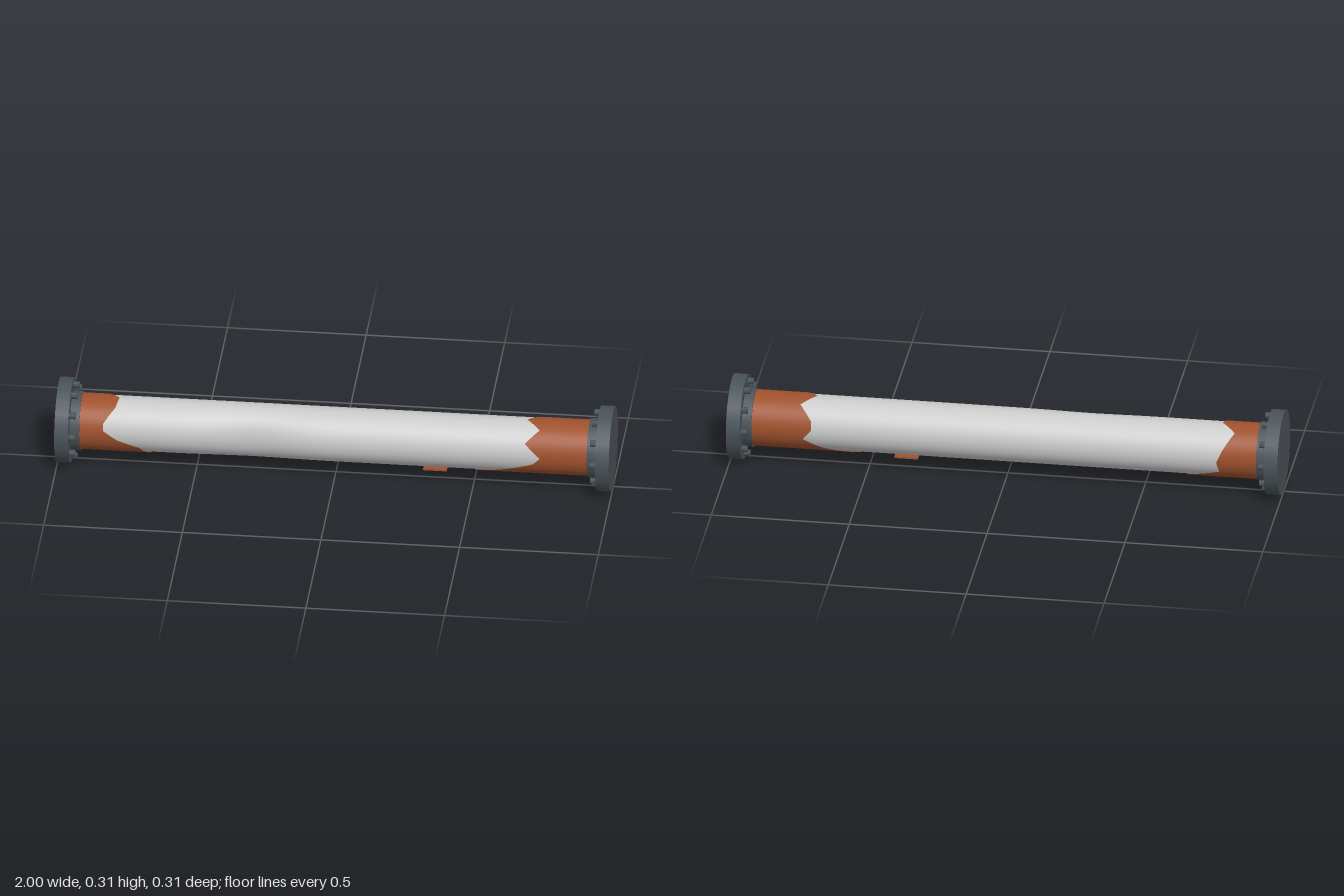
import * as THREE from 'three';

const CY = 0.155; // height of the pipe axis
const steel = new THREE.MeshStandardMaterial({ color: 0x4a5359 });
const paint = new THREE.MeshStandardMaterial({ color: 0xcccccc });
const rust = new THREE.MeshStandardMaterial({ color: 0xa0522d, side: THREE.DoubleSide });

// shallow dent in the front of the pipe
function radiusAt(x, a, r) {
  const facing = Math.max(0, Math.sin(a));
  return r - 0.018 * facing * facing * Math.exp(-(((x + 0.3) / 0.15) ** 2));
}

// tube skin between two x limits given per angle (0 = top, 90 degrees = front)
function skin(r, x0, x1, around, along) {
  const pos = [], idx = [];
  for (let j = 0; j <= along; j++) {
    for (let i = 0; i <= around; i++) {
      const a = (i / around) * Math.PI * 2;
      const x = THREE.MathUtils.lerp(x0(a), x1(a), j / along);
      const q = radiusAt(x, a, r);
      pos.push(x, q * Math.cos(a), q * Math.sin(a));
      if (i < around && j < along) {
        const p = j * (around + 1) + i, n = p + around + 1;
        idx.push(p, p + 1, n, p + 1, n + 1, n);
      }
    }
  }
  const g = new THREE.BufferGeometry();
  g.setAttribute('position', new THREE.Float32BufferAttribute(pos, 3));
  g.setIndex(idx);
  g.computeVertexNormals();
  // close the shading seam
  const nor = g.attributes.normal;
  for (let j = 0; j <= along; j++) {
    const p = j * (around + 1), q = p + around;
    const n = new THREE.Vector3().fromBufferAttribute(nor, p)
      .add(new THREE.Vector3().fromBufferAttribute(nor, q)).normalize();
    nor.setXYZ(p, n.x, n.y, n.z);
    nor.setXYZ(q, n.x, n.y, n.z);
  }
  return g;
}

// ragged edge: straight runs between [degrees, x] points
function raggedEdge(points) {
  return (a) => {
    const d = THREE.MathUtils.radToDeg(a);
    let k = 0;
    while (k < points.length - 2 && d > points[k + 1][0]) k++;
    const [d0, v0] = points[k], [d1, v1] = points[k + 1];
    return THREE.MathUtils.mapLinear(d, d0, d1, v0, v1);
  };
}

// cylinder lying along x
function disc(r, x0, x1, sides, material, name) {
  const g = new THREE.CylinderGeometry(r, r, Math.abs(x1 - x0), sides);
  g.rotateZ(Math.PI / 2);
  const m = new THREE.Mesh(g, material);
  m.position.x = (x0 + x1) / 2;
  m.name = name;
  return m;
}

function add(group, geometry, material, name) {
  const m = new THREE.Mesh(geometry, material);
  m.name = name;
  group.add(m);
  return m;
}

export function createModel() {
  const model = new THREE.Group();
  model.name = 'pipe';
  const body = new THREE.Group();
  body.name = 'pipeAssembly';
  body.position.y = CY;
  model.add(body);

  // painted tube
  add(body, skin(0.098, () => -0.96, () => 0.96, 48, 80), paint, 'tube');

  // rusted ends with ragged borders
  const leftEdge = raggedEdge([[0, 0.69], [30, 0.74], [60, 0.69], [90, 0.745], [105, 0.72],
    [135, 0.58], [150, 0.52], [180, 0.49], [210, 0.58], [230, 0.66], [255, 0.73],
    [275, 0.70], [295, 0.70], [330, 0.745], [360, 0.69]]);
  const rightEdge = raggedEdge([[0, -0.78], [30, -0.79], [65, -0.83], [80, -0.83], [100, -0.78],
    [120, -0.70], [150, -0.67], [180, -0.65], [215, -0.66], [240, -0.78], [265, -0.77],
    [290, -0.79], [330, -0.83], [360, -0.78]]);
  add(body, skin(0.1015, leftEdge, () => 0.93, 72, 3), rust, 'leftRust');
  add(body, skin(0.1015, () => -0.93, rightEdge, 72, 3), rust, 'rightRust');

  // loose rust flake under the pipe
  const flake = add(body, new THREE.BoxGeometry(0.085, 0.006, 0.1), rust, 'rustFlake');
  flake.position.set(0.362, -0.0985, 0);

  // flanges with collars and bolts
  for (const side of [1, -1]) {
    const flange = new THREE.Group();
    flange.name = side > 0 ? 'leftFlange' : 'rightFlange';
    flange.add(disc(0.155, side * 0.95, side, 20, steel, 'flangePlate'));
    flange.add(disc(0.108, side * 0.915, side * 0.955, 20, steel, 'collar'));
    for (let i = 0; i < 10; i++) {
      const a = (i / 10) * Math.PI * 2;
      const bolt = disc(0.012, side * 0.928, side * 0.955, 6, steel, 'bolt');
      bolt.position.y = 0.13 * Math.sin(a);
      bolt.position.z = -0.13 * Math.cos(a);
      flange.add(bolt);
    }
    body.add(flange);
  }
  return model;
}
